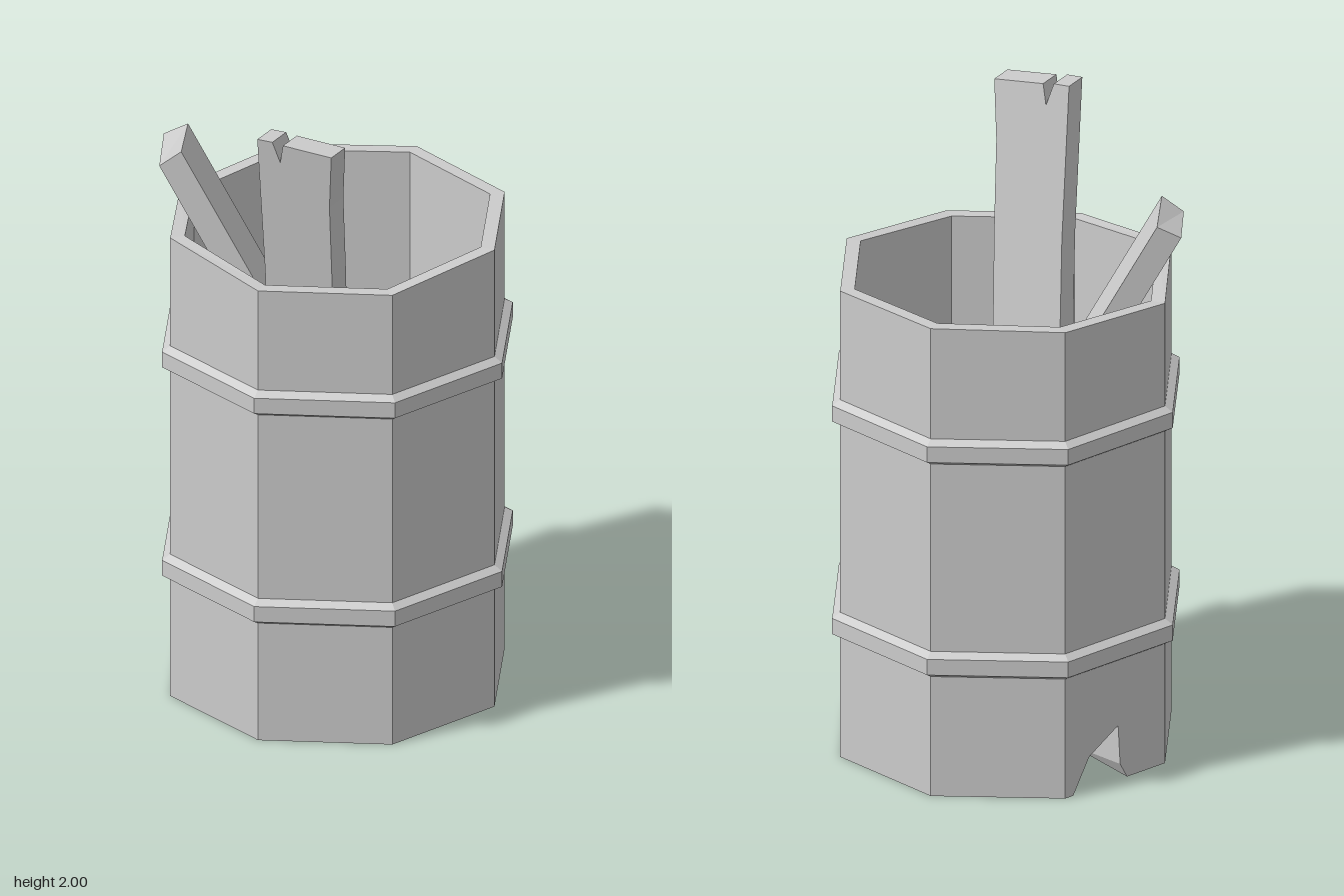
import * as THREE from 'three';

const SIDES = 8;
const TURN = THREE.MathUtils.degToRad(3.95);
const STEP = (Math.PI * 2) / SIDES;
const V = (x, y, z) => new THREE.Vector3(x, y, z);

const grey = new THREE.MeshStandardMaterial({ color: 0xcccccc, flatShading: true });
const greyDouble = new THREE.MeshStandardMaterial({ color: 0xcccccc, flatShading: true, side: THREE.DoubleSide });

// Corner k of the octagon; k = 0 is at the front
const corner = (k, r, y) => V(r * Math.sin(TURN + k * STEP), y, r * Math.cos(TURN + k * STEP));

// Flat convex faces from lists of corners
function faces(polygons) {
  const points = [];
  for (const p of polygons) {
    for (let i = 1; i < p.length - 1; i++) points.push(p[0], p[i], p[i + 1]);
  }
  const geometry = new THREE.BufferGeometry().setFromPoints(points);
  geometry.computeVertexNormals();
  return geometry;
}

// Flat outline whose points are moved by a rule
function mapGeometry(geometry, rule) {
  const pos = geometry.attributes.position;
  for (let i = 0; i < pos.count; i++) {
    const p = rule(pos.getX(i), pos.getY(i), pos.getZ(i));
    pos.setXYZ(i, p.x, p.y, p.z);
  }
  geometry.computeVertexNormals();
  return geometry;
}

const outline = (pts) => new THREE.Shape(pts.map(([x, y]) => new THREE.Vector2(x, y)));

export function createModel() {
  const group = new THREE.Group();
  const add = (name, geometry, material = grey) => {
    const mesh = new THREE.Mesh(geometry, material);
    mesh.name = name;
    group.add(mesh);
  };

  const R = 0.537, INNER = 0.49, HEAP_EDGE = 0.48, CHIPPED = 5;
  const rimHeight = [1.52, 1.52, 1.545, 1.545, 1.55, 1.545, 1.525, 1.55];
  const h = (k) => rimHeight[k % SIDES];

  // Staves, uneven rim and inner walls
  const outer = [], rim = [], inner = [];
  for (let k = 0; k < SIDES; k++) {
    const n = k + 1;
    if (k !== CHIPPED) outer.push([corner(k, R, 0), corner(n, R, 0), corner(n, R, h(n)), corner(k, R, h(k))]);
    rim.push([corner(k, R, h(k)), corner(n, R, h(n)), corner(n, INNER, h(n)), corner(k, INNER, h(k))]);
    inner.push([corner(n, INNER, HEAP_EDGE), corner(k, INNER, HEAP_EDGE), corner(k, INNER, h(k)), corner(n, INNER, h(n))]);
  }
  add('outerWall', faces(outer));
  add('rim', faces(rim));
  add('innerWall', faces(inner));

  // Stave with a splintered chip at the foot: (position along the stave, height)
  const chip = [[0.08, 0], [0.24, 0.11], [0.53, 0.18], [0.55, 0.05], [0.62, 0]];
  const onStave = (t, y) => corner(CHIPPED, R, y).lerp(corner(CHIPPED + 1, R, y), t);
  add('chippedStave', mapGeometry(new THREE.ShapeGeometry(outline(
    [[0, 0], ...chip, [1, 0], [1, h(CHIPPED + 1)], [0, h(CHIPPED)]])), onStave));

  // Hollow of the chip, narrowing to a point under the barrel
  const tip = V(-0.216, 0, 0.02);
  const edge = chip.map(([t, y]) => onStave(t, y));
  add('chipHollow', faces(edge.slice(1).map((p, i) => [edge[i], p, tip])), greyDouble);

  // Underside with the matching notch
  const base = [];
  for (let k = 0; k < SIDES; k++) {
    base.push(corner(k, R, 0));
    if (k === CHIPPED) base.push(edge[0], tip, edge[edge.length - 1]);
  }
  add('underside', mapGeometry(new THREE.ShapeGeometry(outline(base.map((p) => [p.x, p.z]))),
    (x, z) => V(x, 0, z)));

  // Bevelled hoops
  for (const [name, y] of [['lowerHoop', 0.395], ['upperHoop', 1.1]]) {
    const profile = [[0.535, 0], [0.563, 0.016], [0.563, 0.068], [0.535, 0.086]]
      .map(([r, dy]) => new THREE.Vector2(r, y + dy));
    const hoop = new THREE.LatheGeometry(profile, SIDES, TURN);
    add(name, hoop);
  }

  // Faceted heap inside, with three peaks
  const A = V(0.21, 0.83, -0.165), B = V(-0.12, 0.85, -0.075), C = V(0.08, 0.82, 0.25);
  const peaks = [C, C, A, A, B, B, B, C];
  const heap = [[A, B, C]];
  for (let k = 0; k < SIDES; k++) {
    const p = corner(k, INNER, HEAP_EDGE);
    const before = peaks[(k + SIDES - 1) % SIDES];
    heap.push([p, corner(k + 1, INNER, HEAP_EDGE), peaks[k]]);
    if (before !== peaks[k]) heap.push([p, peaks[k], before]);
  }
  add('heap', faces(heap));

  // Thick beam leaning out over the rim
  const top = [V(-0.495, 1.76, 0.06), V(-0.56, 1.725, 0.095), V(-0.46, 1.72, 0.29), V(-0.4, 1.77, 0.26)];
  const low = top.map((p) => p.clone().add(V(0.5, -0.96, -0.178)));
  const beam = [top, [...low].reverse()];
  for (let i = 0; i < 4; i++) {
    const j = (i + 1) % 4;
    beam.push([low[i], low[j], top[j], top[i]]);
  }
  add('leaningBeam', faces(beam));

  // Tall plank with a split top, sheared so it leans forward
  const plankShape = outline([[-0.075, 0.65], [0.14, 0.65], [0.205, 1.52], [0.222, 1.8], [0.245, 1.985],
    [0.085, 1.995], [0.07, 1.93], [0.05, 2], [0, 2], [-0.018, 1.52]]);
  add('splitPlank', mapGeometry(
    new THREE.ExtrudeGeometry(plankShape, { depth: 0.083, bevelEnabled: false }),
    (x, y, z) => V(x, y, z + 0.393 + 0.165 * (y - 1.99) - 0.11 * x)));

  return group;
}
